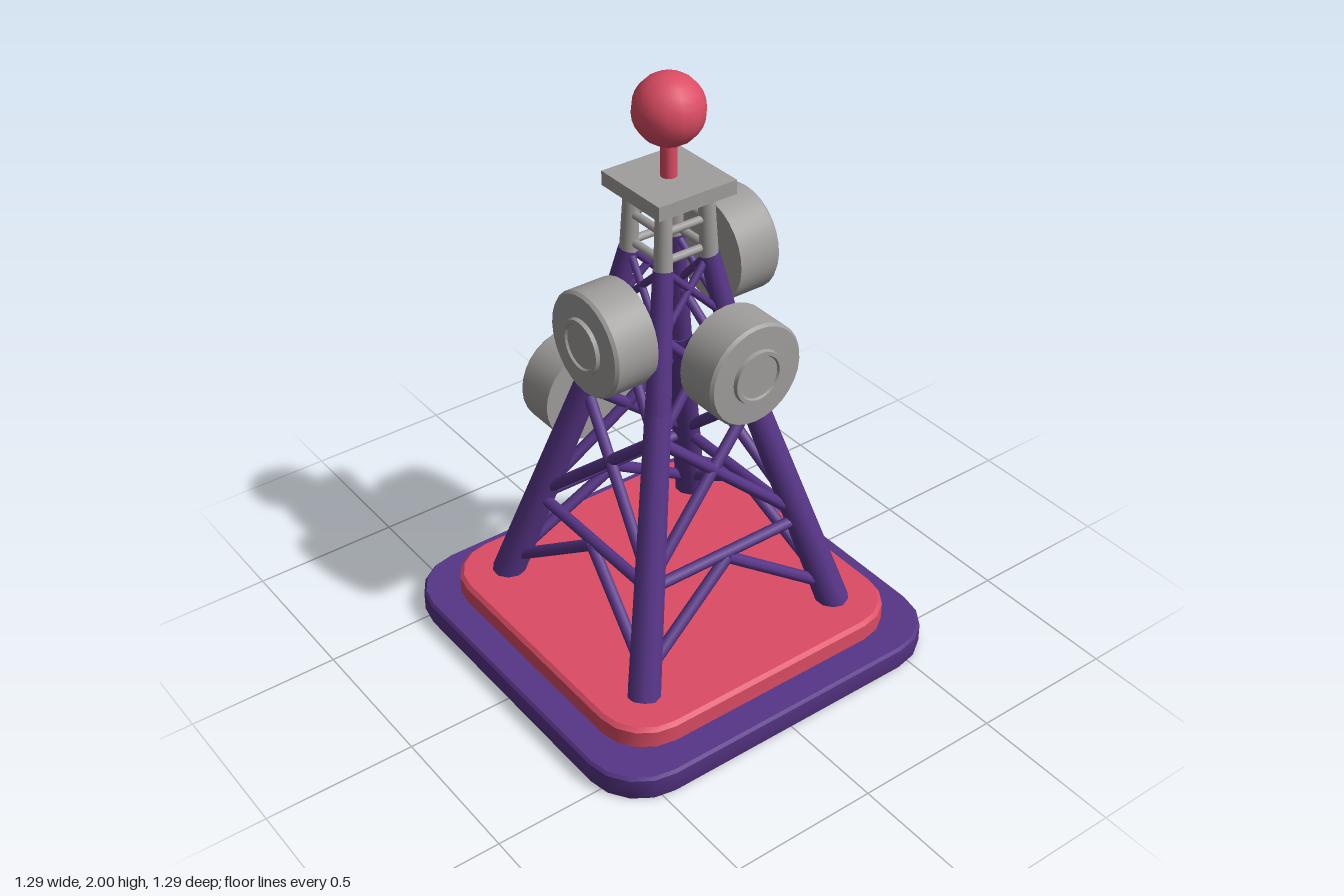
import * as THREE from 'three';
import { toCreasedNormals } from 'three/addons/utils/BufferGeometryUtils.js';

const purple = new THREE.MeshStandardMaterial({ color: 0x573587, side: THREE.DoubleSide });
purple.name = 'purple';
const red = new THREE.MeshStandardMaterial({ color: 0xdc4c64 });
red.name = 'coral red';
const gray = new THREE.MeshStandardMaterial({ color: 0xa09e9d });
gray.name = 'gray';
const black = new THREE.MeshStandardMaterial({ color: 0x040404 });
black.name = 'black';

const V = (x, y, z) => new THREE.Vector3(x, y, z);
const UP = V(0, 1, 0);

function add(parent, name, geometry, material) {
  const mesh = new THREE.Mesh(geometry, material);
  mesh.name = name;
  parent.add(mesh);
  return mesh;
}

// Rounded-square ring of points
function roundedSquare(half, radius, y, steps = 4) {
  const points = [];
  for (let c = 0; c < 4; c++) {
    const mid = (c + 0.5) * Math.PI / 2;
    const cx = Math.sign(Math.cos(mid)) * (half - radius);
    const cz = Math.sign(Math.sin(mid)) * (half - radius);
    for (let i = 0; i <= steps; i++) {
      const a = (c + i / steps) * Math.PI / 2;
      points.push(V(cx + radius * Math.cos(a), y, cz + radius * Math.sin(a)));
    }
  }
  return points;
}

// Skin over [half, radius, y] sections
function loft(sections) {
  const rings = sections.map(s => roundedSquare(...s));
  const pos = [];
  const n = rings[0].length;
  for (let j = 0; j < rings.length - 1; j++) {
    for (let i = 0; i < n; i++) {
      const k = (i + 1) % n;
      const a = rings[j][i], b = rings[j][k], c = rings[j + 1][i], d = rings[j + 1][k];
      for (const p of [a, c, b, b, c, d]) pos.push(p.x, p.y, p.z);
    }
  }
  const geometry = new THREE.BufferGeometry();
  geometry.setAttribute('position', new THREE.Float32BufferAttribute(pos, 3));
  return toCreasedNormals(geometry, 0.6);
}

// Tapered round bar between two points
function bar(parent, name, a, b, r0, r1, material, sides = 8) {
  const dir = b.clone().sub(a);
  const mesh = add(parent, name, new THREE.CylinderGeometry(r1, r0, dir.length(), sides), material);
  mesh.position.copy(a).add(b).multiplyScalar(0.5);
  mesh.quaternion.setFromUnitVectors(UP, dir.normalize());
  return mesh;
}

// Leg centre line: height, distance from the middle, radius
const legLine = [[0.15, 0.385, 0.054], [1.0, 0.163, 0.042], [1.43, 0.085, 0.032]];
function spread(y) {
  const i = y < legLine[1][0] ? 0 : 1;
  const [y0, w0] = legLine[i], [y1, w1] = legLine[i + 1];
  return w0 + (w1 - w0) * (y - y0) / (y1 - y0);
}

// Drum antenna facing along a direction
function dish(parent, name, position, direction) {
  const profile = [[0, 0], [0.17, 0], [0.17, 0.14], [0.162, 0.15], [0.09, 0.152], [0.087, 0.165],
    [0.074, 0.165], [0.07, 0.158], [0, 0.158]].map(p => new THREE.Vector2(...p));
  const mesh = add(parent, name, toCreasedNormals(new THREE.LatheGeometry(profile, 28), 0.5), gray);
  mesh.position.copy(position);
  mesh.quaternion.setFromUnitVectors(UP, direction);
}

export function createModel() {
  const model = new THREE.Group();
  model.name = 'antennaTower';

  // Stepped base, hollow underneath
  add(model, 'baseSkirt', loft([[0.64, 0.185, 0], [0.645, 0.19, 0.01], [0.645, 0.19, 0.075],
    [0.637, 0.182, 0.085], [0.535, 0.155, 0.085]]), purple);
  add(model, 'basePad', loft([[0.54, 0.16, 0.085], [0.547, 0.165, 0.093], [0.547, 0.165, 0.15],
    [0.535, 0.155, 0.162], [0, 0, 0.162]]), red);
  add(model, 'baseUnderside', loft([[0, 0, 0.083], [0.54, 0.16, 0.083]]), black);

  // Four legs with gray upper sections
  for (const sx of [-1, 1]) {
    for (const sz of [-1, 1]) {
      const at = (y, w) => V(sx * w, y, sz * w);
      for (let i = 0; i < 2; i++) {
        const [y0, w0, r0] = legLine[i], [y1, w1, r1] = legLine[i + 1];
        bar(model, 'leg', at(y0, w0), at(y1, w1), r0, r1, purple, 10);
      }
      bar(model, 'upperLeg', at(1.425, 0.085), at(1.64, 0.077), 0.03, 0.026, gray, 10);
    }
  }

  // Lattice repeated on each face
  for (let f = 0; f < 4; f++) {
    const side = new THREE.Group();
    side.name = 'latticeSide';
    side.rotation.y = f * Math.PI / 2;
    model.add(side);
    const on = (s, y) => V(s * spread(y), y, spread(y));
    bar(side, 'crossbar', on(-1, 0.48), on(1, 0.48), 0.019, 0.019, purple);
    for (const s of [-1, 1]) {
      bar(side, 'lowerBrace', on(s, 0.22), V(0, 0.465, spread(0.465)), 0.02, 0.02, purple);
      for (const [y0, y1, r] of [[0.5, 0.92, 0.019], [0.9, 1.23, 0.016], [1.22, 1.43, 0.012]]) {
        bar(side, 'crossBrace', on(s, y0), on(-s, y1), r, r, purple);
      }
    }
    for (const y of [1.455, 1.55]) {
      bar(side, 'rung', V(-0.08, y, 0.08), V(0.08, y, 0.08), 0.013, 0.013, gray);
    }
  }

  // Platform, mast and beacon
  add(model, 'platform', new THREE.BoxGeometry(0.28, 0.046, 0.28), gray).position.y = 1.656;
  bar(model, 'mast', V(0, 1.67, 0), V(0, 1.82, 0), 0.025, 0.025, red, 12);
  add(model, 'beacon', new THREE.SphereGeometry(0.11, 14, 14), red).position.y = 1.89;

  // Drum antennas
  dish(model, 'leftDish', V(0.14, 1.39, 0), V(1, 0, 0));
  dish(model, 'rightDish', V(-0.165, 1.215, 0), V(-1, 0, 0));
  dish(model, 'frontDish', V(0.065, 1.14, 0.195), V(0, 0, 1));
  dish(model, 'backDish', V(-0.108, 0.82, -0.27), V(0, 0, -1));

  return model;
}
